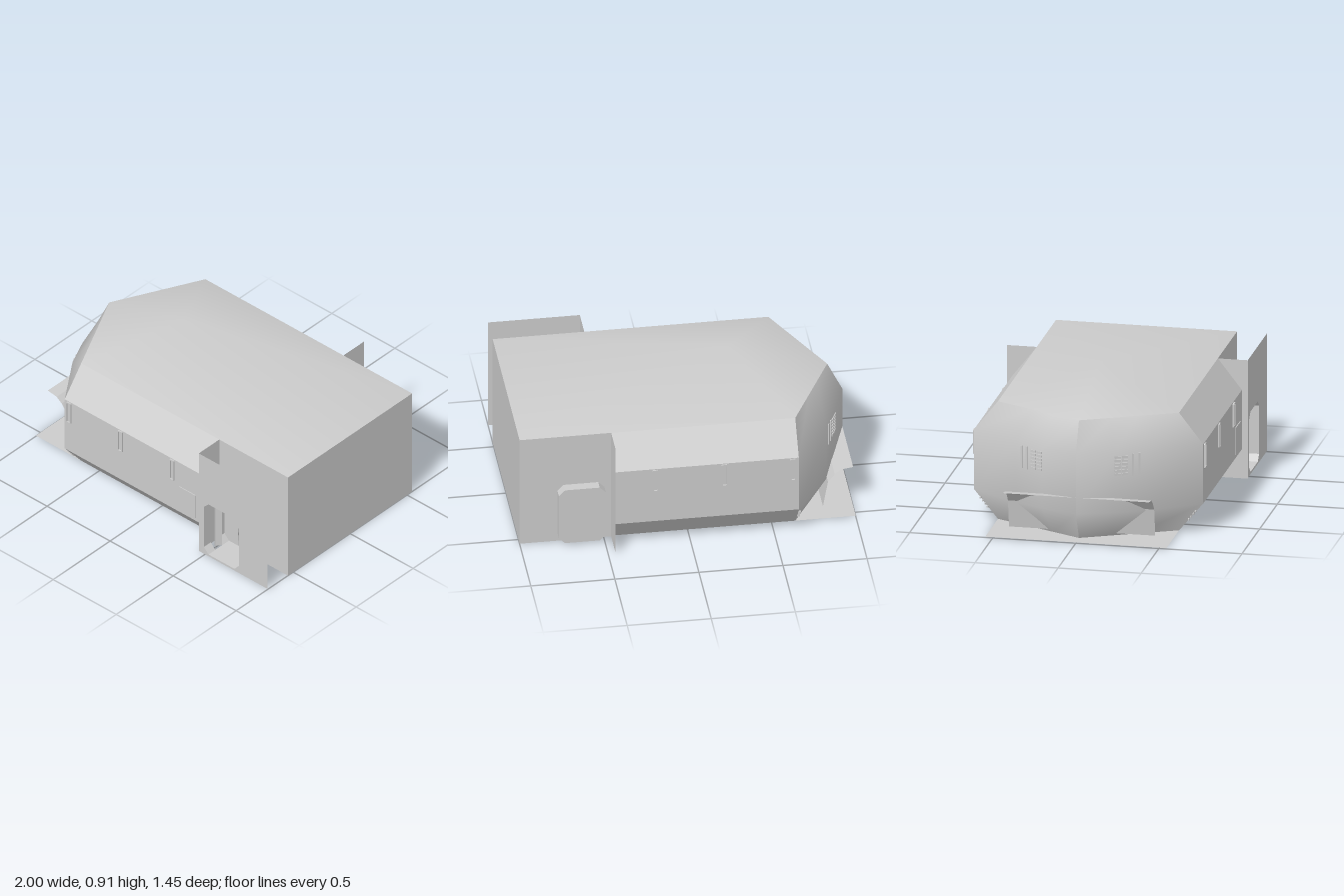
import * as THREE from 'three';

const material = new THREE.MeshStandardMaterial({ color: 0xcccccc, side: THREE.DoubleSide });

function add(parent, name, geometry, x = 0, y = 0, z = 0) {
  const mesh = new THREE.Mesh(geometry, material);
  mesh.name = name;
  mesh.position.set(x, y, z);
  parent.add(mesh);
  return mesh;
}

const box = (parent, name, w, h, d, x, y, z) =>
  add(parent, name, new THREE.BoxGeometry(w, h, d), x, y, z);

// Surface through rows of [x, y, z] points; smooth shares normals across the strips
function loft(rows, smooth = false) {
  const n = rows[0].length, index = [];
  for (let i = 0; i < rows.length - 1; i++) {
    for (let j = 0; j < n - 1; j++) {
      const a = i * n + j, b = a + n;
      index.push(a, a + 1, b, a + 1, b + 1, b);
    }
  }
  let g = new THREE.BufferGeometry();
  g.setAttribute('position', new THREE.Float32BufferAttribute(rows.flat(2), 3));
  g.setIndex(index);
  if (!smooth) g = g.toNonIndexed();
  g.computeVertexNormals();
  return g;
}

// Rectangle with cut corners, as [x, y] points
function cutCorners(x0, x1, y0, y1, c) {
  return [[x0 + c, y0], [x1 - c, y0], [x1, y0 + c], [x1, y1 - c],
    [x1 - c, y1], [x0 + c, y1], [x0, y1 - c], [x0, y0 + c]];
}
const toVectors = (points) => points.map(([x, y]) => new THREE.Vector2(x, y));

export function createModel() {
  const model = new THREE.Group();
  model.name = 'cabinModule';

  // Floor with a hatch on its underside
  add(model, 'floor', new THREE.PlaneGeometry(2, 1.09).rotateX(Math.PI / 2), 0, 0.005, 0);
  const hatch = new THREE.Shape(toVectors(cutCorners(-0.2, 0.2, -0.18, 0.18, 0.05)));
  add(model, 'floorHatch', new THREE.ExtrudeGeometry(hatch, { depth: 0.005, bevelEnabled: false })
    .rotateX(Math.PI / 2), 0.1, 0.005, 0);

  // Roof: shallow fan of faces from one peak
  const rim = [[1, 0.73, 0.545], [1, 0.73, -0.545], [-0.64, 0.73, -0.545],
    [-0.91, 0.73, 0], [-0.64, 0.73, 0.545]];
  const roof = new THREE.BufferGeometry();
  roof.setAttribute('position', new THREE.Float32BufferAttribute([-0.32, 0.91, 0, ...rim.flat()], 3));
  roof.setIndex(rim.flatMap((_, i) => [0, i + 1, (i + 1) % 5 + 1]));
  roof.computeVertexNormals();
  add(model, 'roof', roof);

  // Square end of the cabin
  add(model, 'endWall', new THREE.PlaneGeometry(1.09, 0.73).rotateY(Math.PI / 2), 1, 0.365, 0);

  // Profile of the bulging side as [y, z]
  const profile = [[0.73, 0.545], [0.545, 0.69], [0.18, 0.69], [0.005, 0.545]];
  // Plan curves of the nose as [x, z]: straight at roof and floor, bowed at mid height
  const noseRim = [0, 0.32, 0.58, 1].map((t) => [-0.91 + 0.27 * t, 0.545 * t]);
  const noseBelly = [[-1, 0], [-0.925, 0.22], [-0.845, 0.395], [-0.64, 0.69]];

  for (const s of [1, -1]) {
    const side = new THREE.Group();
    side.name = s > 0 ? 'frontSide' : 'backSide';
    model.add(side);

    const section = (x) => profile.map(([y, z]) => [x, y, s * z]);
    const noseRows = noseRim.map((edge, i) => profile.map(([y], j) => {
      const [x, z] = j === 0 || j === 3 ? edge : noseBelly[i];
      return [x, y, s * z];
    }));
    const order = (rows) => (s > 0 ? rows : rows.reverse());
    add(side, 'sideHull', loft(order([section(-0.64), section(0.455)])));
    add(side, 'nose', loft(order(noseRows), true));
    const wall = new THREE.PlaneGeometry(0.545, 0.73);
    if (s < 0) wall.rotateY(Math.PI);
    add(side, 'cabinWall', wall, 0.7275, 0.365, s * 0.545);
    add(side, 'bulkhead', new THREE.PlaneGeometry(0.18, 0.73).rotateY(Math.PI / 2),
      0.455, 0.365, s * 0.635);

    // Slim framed windows along the side
    for (const x of [-0.605, -0.197, 0.213]) {
      const frame = new THREE.Shape(toVectors(cutCorners(-0.018, 0.018, -0.075, 0.075, 0.004)));
      frame.holes.push(new THREE.Path(toVectors(cutCorners(-0.011, 0.011, -0.068, 0.068, 0.003))));
      add(side, 'windowFrame', new THREE.ExtrudeGeometry(frame, { depth: 0.012, bevelEnabled: false }),
        x, 0.465, s * 0.693 - 0.006);
    }

    // Nose vent: upright bars beside a column of slots
    const vent = new THREE.Group();
    vent.name = 'noseVent';
    vent.position.set(-0.89, 0.47, s * 0.297);
    vent.rotation.y = s * -Math.atan2(0.175, 0.08);
    side.add(vent);
    for (const u of [0.024, 0.062]) box(vent, 'ventBar', 0.01, 0.14, 0.012, u, 0, 0);
    for (let i = 0; i < 6; i++) {
      for (const u of [-0.068, -0.024]) box(vent, 'ventSlot', 0.036, 0.013, 0.012, u, -0.055 + i * 0.021, 0);
    }

    // Small rungs low on the hull edge
    for (let i = 0; i < 4; i++) {
      box(side, 'rung', 0.016, 0.01, 0.008, -0.65, 0.08 + i * 0.018, s * (0.605 + i * 0.014));
    }
  }

  // Service panel on the front side
  box(model, 'servicePanel', 0.13, 0.17, 0.008, 0.335, 0.285, 0.691);

  // Folded sheet fin crossing the nose
  const fin = [[-1, 0.28], [-0.93, 0.27], [-0.91, 0.255], [-0.89, 0.24], [-0.85, 0.19], [-0.82, 0.02]];
  add(model, 'noseFin', loft([-0.44, 0.44].map((z) => fin.map(([x, y]) => [x, y, z]))));

  // Outer front panel with a door opening
  const door = cutCorners(0.495, 0.775, 0.018, 0.39, 0.037);
  const panel = new THREE.Shape(toVectors([[0.455, 0.005], [1, 0.005], [1, 0.73], [0.455, 0.73]]));
  panel.holes.push(new THREE.Path(toVectors(door)));
  add(model, 'outerPanel', new THREE.ShapeGeometry(panel), 0, 0, 0.725);

  // Door frames: thin rings following the opening
  const loop = [...door, door[0]];
  const ring = (z0, z1) => loft([z0, z1].map((z) => loop.map(([x, y]) => [x, y, z])));
  add(model, 'outerDoorFrame', ring(0.725, 0.665));
  add(model, 'innerDoorFrame', ring(0.605, 0.545));
  for (const y of [0.018, 0.39]) {
    add(model, 'doorFrameLink', new THREE.PlaneGeometry(0.206, 0.06).rotateX(-Math.PI / 2), 0.635, y, 0.635);
  }

  // Seals in the gap between the frames: a straight fold and a pinched strip
  add(model, 'straightSeal', loft([0.018, 0.39].map((y) =>
    [[0.532, y, 0.605], [0.5, y, 0.635], [0.532, y, 0.665]])));
  add(model, 'pinchedSeal', loft([[0.018, 0.738, 0.03], [0.204, 0.7, 0.014], [0.39, 0.738, 0.03]].map(
    ([y, x, w]) => [[x, y, 0.64 - w], [x, y, 0.64 + w]])));

  // Closed door block on the back
  const block = new THREE.Shape(toVectors(door));
  add(model, 'backDoor', new THREE.ExtrudeGeometry(block, { depth: 0.06, bevelEnabled: false }), 0, 0, -0.605);

  return model;
}
